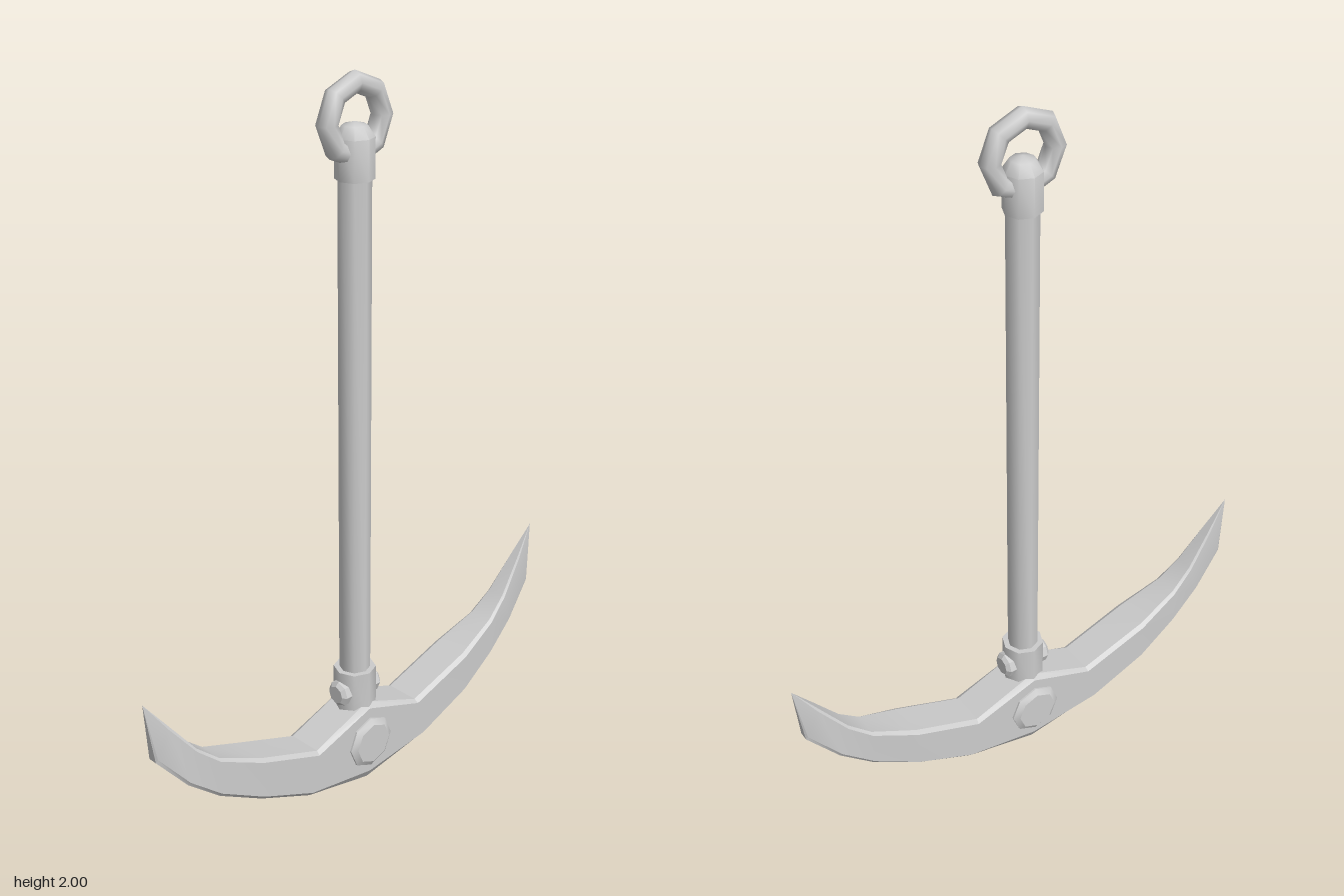
import * as THREE from 'three';
import { toCreasedNormals } from 'three/addons/utils/BufferGeometryUtils.js';

const material = new THREE.MeshStandardMaterial({ color: 0xcccccc });

// One arm from the middle to the tip: [top z, top y, bottom z, bottom y, half width]
const ARM = [
  [0, 0.25, 0, 0, 0.062],
  [0.19, 0.175, 0.22, 0.042, 0.062],
  [0.39, 0.245, 0.39, 0.115, 0.062],
  [0.52, 0.3, 0.52, 0.18, 0.043],
  [0.585, 0.355, 0.615, 0.255, 0.032],
  [0.66, 0.45, 0.705, 0.36, 0.017],
  [0.727, 0.535, 0.727, 0.535, 0],
];

// Bevelled eight-sided section, counter-clockwise: [x factor, fraction from bottom to top]
const SECTION = [
  [0.78, 0], [1, 0.1], [1, 0.93], [0.8, 1],
  [-0.8, 1], [-1, 0.93], [-1, 0.1], [-0.78, 0],
];

function armsGeometry() {
  const mirrored = ARM.slice(1).reverse().map(([tz, ty, bz, by, w]) => [-tz, ty, -bz, by, w]);
  const stations = [...mirrored, ...ARM];
  const positions = [], indices = [], n = SECTION.length;
  for (const [tz, ty, bz, by, w] of stations) {
    for (const [fx, t] of SECTION) {
      positions.push(fx * w, by + (ty - by) * t, bz + (tz - bz) * t);
    }
  }
  for (let i = 0; i < stations.length - 1; i++) {
    for (let j = 0; j < n; j++) {
      const a = i * n + j, b = i * n + (j + 1) % n;
      if (i > 0) indices.push(a, b, b + n);
      else indices.push(a, b + n, a + n);
      if (i > 0 && i < stations.length - 2) indices.push(a, b + n, a + n);
    }
  }
  const geometry = new THREE.BufferGeometry();
  geometry.setAttribute('position', new THREE.Float32BufferAttribute(positions, 3));
  geometry.setIndex(indices);
  return toCreasedNormals(geometry, 0.45);
}

// Turned part from [radius, height] pairs
function turned(points, sides = 8, crease = 0.9) {
  const profile = points.map(([r, y]) => new THREE.Vector2(r, y));
  return toCreasedNormals(new THREE.LatheGeometry(profile, sides), crease);
}

export function createModel() {
  const model = new THREE.Group();
  const add = (name, geometry) => {
    const mesh = new THREE.Mesh(geometry, material);
    mesh.name = name;
    model.add(mesh);
    return mesh;
  };

  add('arms', armsGeometry());

  // Shank with its lower socket and domed head
  add('shank', turned([[0, 0.2], [0.043, 0.2], [0.043, 1.76], [0, 1.76]]));
  add('socket', turned([[0, 0.18], [0.059, 0.18], [0.059, 0.345], [0, 0.345]]));
  add('shankHead', turned([[0, 1.735], [0.051, 1.735], [0.051, 1.84], [0.032, 1.869], [0, 1.878]]));

  // Ring through the head
  const ring = add('ring', new THREE.TorusGeometry(0.092, 0.028, 8, 8));
  ring.rotation.y = Math.PI / 2;
  ring.position.y = 1.882;

  // Pivot bolts on the sides and small bolts on the socket
  for (const side of [-1, 1]) {
    const pivot = add(side > 0 ? 'leftPivotBolt' : 'rightPivotBolt',
      turned([[0, 0], [0.077, 0], [0.077, 0.017], [0.06, 0.028], [0, 0.028]], 8, 0.5));
    pivot.rotation.z = -side * Math.PI / 2;
    pivot.position.set(side * 0.05, 0.125, 0);

    const bolt = add(side > 0 ? 'frontSocketBolt' : 'backSocketBolt',
      turned([[0, 0], [0.037, 0], [0.037, 0.024], [0.026, 0.034], [0, 0.034]], 8, 0.5));
    bolt.rotation.x = side * Math.PI / 2;
    bolt.position.set(0, 0.28, side * 0.039);
  }
  return model;
}
